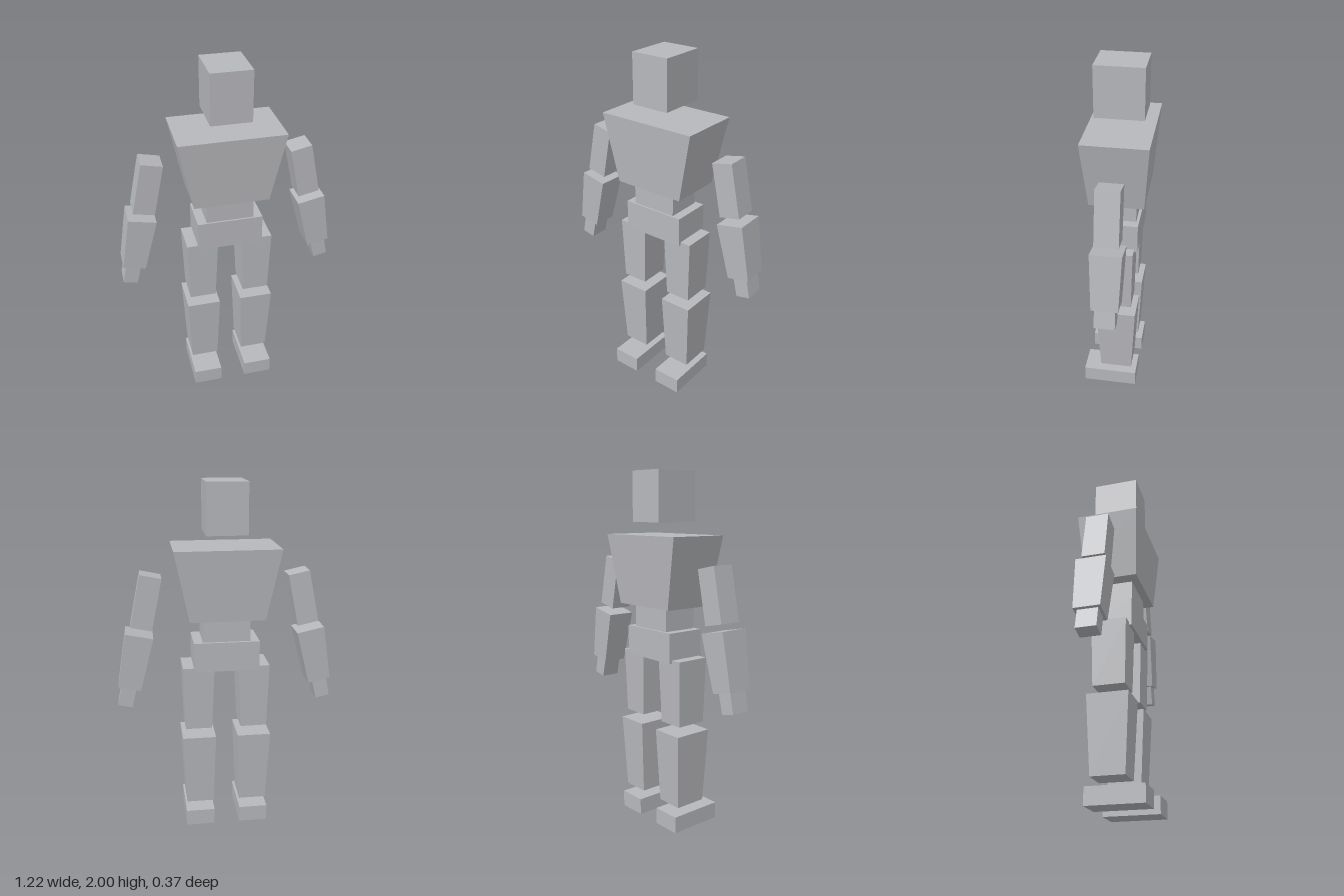
import * as THREE from 'three';

const grey = new THREE.MeshStandardMaterial({ color: 0xb7b8bc });
grey.name = 'plain grey';

// A tapered block: each end is [xLeftEdge, y, xRightEdge, y, zBack, zFront]
function block(name, top, bottom) {
  const geo = new THREE.BoxGeometry(1, 1, 1);
  const p = geo.attributes.position;
  for (let i = 0; i < p.count; i++) {
    const end = p.getY(i) > 0 ? top : bottom;
    const k = p.getX(i) > 0 ? 2 : 0;
    p.setXYZ(i, end[k], end[k + 1], p.getZ(i) > 0 ? end[5] : end[4]);
  }
  geo.computeVertexNormals();
  const mesh = new THREE.Mesh(geo, grey);
  mesh.name = name;
  return mesh;
}

// Level end from x range, height and z range
const level = (x0, x1, y, z0, z1) => [x0, y, x1, y, z0, z1];
// Same end on the other side of the body
const mirror = ([x0, y0, x1, y1, z0, z1]) => [-x1, y1, -x0, y0, z0, z1];

export function createModel() {
  const model = new THREE.Group();
  model.name = 'blockFigure';

  // Head and trunk
  model.add(
    block('head', level(-0.11, 0.11, 2, -0.14, 0.12), level(-0.11, 0.11, 1.727, -0.14, 0.12)),
    block('chest', level(-0.287, 0.287, 1.658, -0.187, 0.165), level(-0.207, 0.207, 1.27, -0.158, 0.14)),
    block('waist', level(-0.132, 0.132, 1.27, -0.107, 0.095), level(-0.132, 0.132, 1.14, -0.107, 0.095)),
    block('pelvis', level(-0.183, 0.183, 1.14, -0.123, 0.105), level(-0.183, 0.183, 0.973, -0.123, 0.105)),
  );

  // Limb parts on the left side: name, top end, bottom end
  const limbs = [
    ['UpperArm', [0.347, 1.495, 0.463, 1.52, -0.074, 0.053], [0.407, 1.206, 0.524, 1.231, -0.074, 0.053]],
    ['Forearm', [0.402, 1.168, 0.554, 1.2, -0.095, 0.071], [0.481, 0.863, 0.605, 0.889, -0.083, 0.06]],
    ['Hand', [0.506, 0.868, 0.588, 0.885, -0.066, 0.045], [0.532, 0.759, 0.611, 0.776, -0.066, 0.045]],
    ['Thigh', level(0.068, 0.245, 0.99, -0.105, 0.09), level(0.083, 0.234, 0.618, -0.096, 0.081)],
    ['Shin', level(0.063, 0.254, 0.57, -0.123, 0.105), level(0.077, 0.235, 0.143, -0.102, 0.083)],
    ['Foot', level(0.075, 0.241, 0.095, -0.129, 0.185), level(0.075, 0.241, 0, -0.129, 0.185)],
  ];
  for (const [name, top, bottom] of limbs) {
    model.add(block('left' + name, top, bottom));
    model.add(block('right' + name, mirror(top), mirror(bottom)));
  }
  return model;
}
